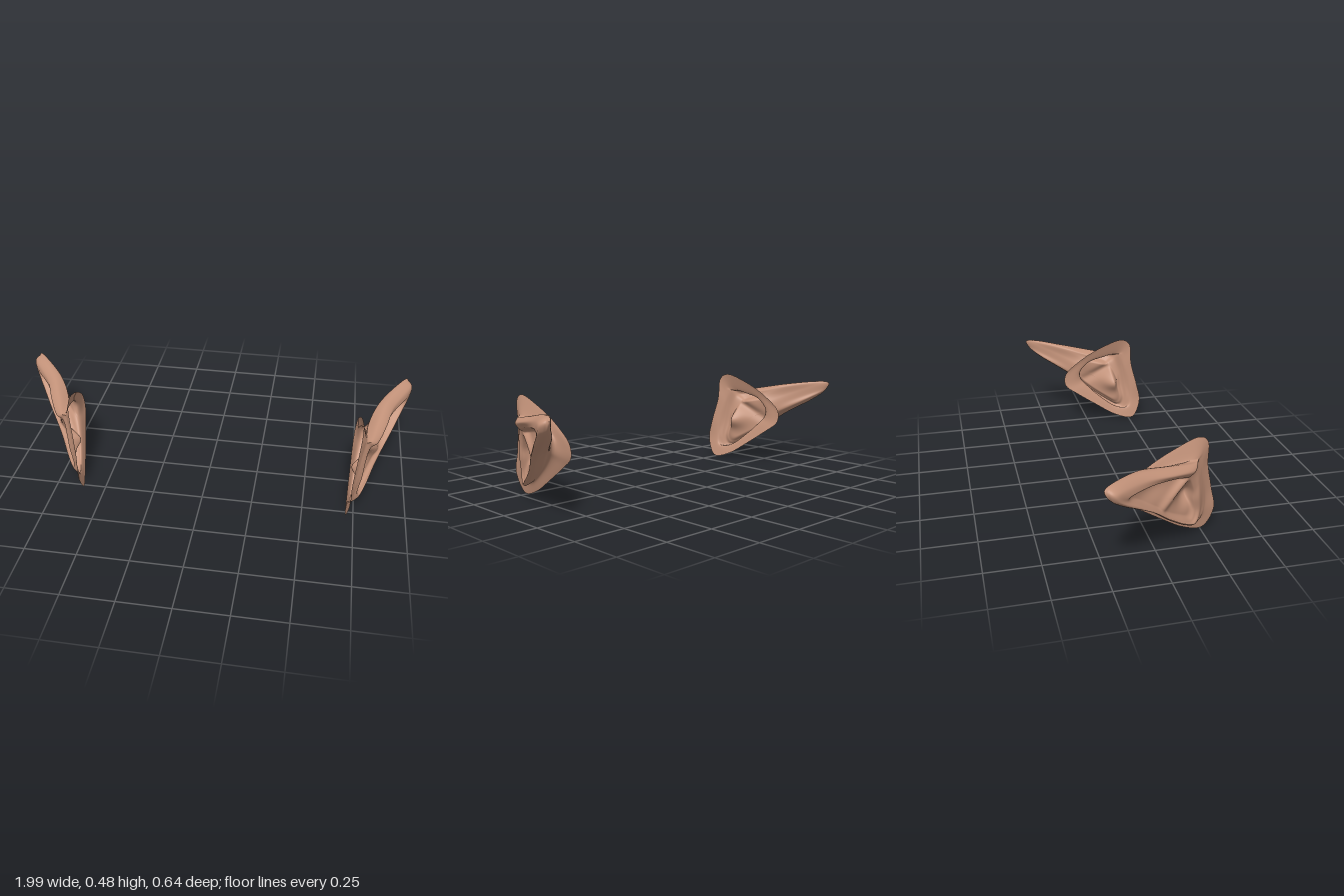
import * as THREE from 'three';

// Closed cross-sections of the ear as [z, y, x], each starting at the top and
// running down the front, along the bottom and back past the tip.
const collar = [
  [.21, .485, .75], [.265, .45, .747], [.272, .34, .74], [.303, .21, .727], [.322, .10, .726],
  [.275, .006, .712], [.17, .03, .715], [.05, .105, .72], [-.06, .18, .725], [-.12, .225, .73],
  [-.133, .27, .735], [-.11, .32, .74], [-.01, .395, .745], [.10, .45, .75],
];
const neck = [
  [.195, .41, .77], [.235, .40, .76], [.245, .32, .752], [.268, .21, .739], [.275, .115, .732],
  [.25, .065, .725], [.17, .075, .73], [.07, .15, .74], [.0, .22, .755], [-.03, .26, .77],
  [-.04, .30, .775], [-.025, .335, .775], [.02, .36, .772], [.10, .38, .772],
];
const back = [
  [.178, .39, .78], [.215, .388, .767], [.232, .315, .759], [.25, .21, .75], [.26, .12, .738],
  [.232, .06, .74], [.155, .082, .748], [.045, .165, .772], [-.07, .262, .825], [-.22, .355, .895],
  [-.285, .408, .945], [-.282, .445, .94], [-.115, .43, .838], [.04, .395, .785],
];
const edge = [
  [.17, .388, .805], [.202, .38, .775], [.222, .31, .767], [.236, .21, .76], [.245, .12, .745],
  [.217, .06, .755], [.148, .08, .778], [.04, .155, .82], [-.085, .26, .875], [-.235, .352, .945],
  [-.295, .405, .98], [-.29, .453, .972], [-.12, .44, .88], [.04, .412, .83],
];
const rim = [
  [.155, .367, .83], [.182, .35, .793], [.205, .28, .78], [.216, .20, .773], [.228, .12, .758],
  [.204, .072, .77], [.14, .096, .80], [.04, .164, .84], [-.068, .254, .895], [-.20, .342, .96],
  [-.265, .398, .994], [-.26, .434, .99], [-.105, .416, .908], [.045, .39, .868],
];
const lip = [
  [.13, .343, .825], [.155, .328, .798], [.188, .25, .775], [.196, .19, .766], [.208, .125, .756],
  [.187, .088, .767], [.128, .115, .798], [.035, .175, .84], [-.05, .245, .89], [-.15, .32, .94],
  [-.218, .375, .97], [-.205, .398, .968], [-.08, .385, .9], [.055, .363, .85],
];

const gauss = (d, w) => Math.exp(-(d * d) / (w * w));

// Depth of the cup: a shallow floor, a bowl near the front and a slanted fold
// that fades out towards the back
function cupX(z, y) {
  const ax = .15, ay = .32, dx = -.14, dy = -.09;
  const t = THREE.MathUtils.clamp(((z - ax) * dx + (y - ay) * dy) / (dx * dx + dy * dy), 0, 1);
  const fold = gauss(Math.hypot(z - ax - t * dx, y - ay - t * dy), .026) * (1 - .5 * t);
  const bowl = gauss(Math.hypot((z - .16) * .8, y - .22), .045);
  const hollow = gauss(Math.hypot((z + .06) * .45, y - .34), .05);
  return .822 - .46 * (z - .03) + .028 * fold - .04 * bowl - .018 * hollow;
}

// Cup floor: the lip drawn in towards a centre point
const floorLoop = (s) => lip.map(([z, y, x]) => [
  THREE.MathUtils.lerp(.07, z, s), THREE.MathUtils.lerp(.245, y, s), THREE.MathUtils.lerp(.8, x, s)]);

function earGeometry() {
  const COLS = 140, STEPS = 7;
  const outer = [collar, neck, back, edge, rim, lip];
  const loops = [...outer, ...[.85, .6, .3, 0].map(floorLoop)];
  const curves = loops.map((l) => new THREE.CatmullRomCurve3(
    l.map(([z, y, x]) => new THREE.Vector3(x, y, z)), true, 'catmullrom', .5));
  const rows = (loops.length - 1) * STEPS;
  const lipRow = (outer.length - 1) * STEPS;
  const pos = new Float32Array((rows + 1) * COLS * 3);
  const index = [];
  for (let c = 0; c < COLS; c++) {
    const across = new THREE.CatmullRomCurve3(
      curves.map((k) => k.getPoint(c / COLS)), false, 'catmullrom', .5);
    for (let r = 0; r <= rows; r++) {
      const p = across.getPoint(r / rows);
      // ease from the lip into the sculpted floor
      const sunk = THREE.MathUtils.smoothstep(r, lipRow, lipRow + 1.4 * STEPS);
      p.x = THREE.MathUtils.lerp(p.x, cupX(p.z, p.y), sunk);
      // x is measured from the root of the ear
      pos.set([p.x - .75, p.y, p.z], (r * COLS + c) * 3);
      if (r === rows) continue;
      const a = r * COLS + c, b = r * COLS + (c + 1) % COLS;
      index.push(a, b, a + COLS, b, b + COLS, a + COLS);
    }
  }
  const g = new THREE.BufferGeometry();
  g.setAttribute('position', new THREE.BufferAttribute(pos, 3));
  g.setIndex(index);
  g.computeVertexNormals();
  return g;
}

export function createModel() {
  const model = new THREE.Group();
  model.name = 'pointedEars';
  const skin = new THREE.MeshStandardMaterial({ color: 0xc4937a, side: THREE.DoubleSide });
  const geometry = earGeometry();

  const leftEar = new THREE.Mesh(geometry, skin);
  leftEar.name = 'leftEar';
  leftEar.position.x = .75;

  // The right ear is mirrored and turned a little further outwards
  const rightEar = new THREE.Mesh(geometry, skin);
  rightEar.name = 'rightEar';
  rightEar.position.x = .695;
  rightEar.rotation.y = THREE.MathUtils.degToRad(-10);
  const mirror = new THREE.Group();
  mirror.name = 'rightSide';
  mirror.scale.x = -1;
  mirror.add(rightEar);

  model.add(leftEar, mirror);
  return model;
}
